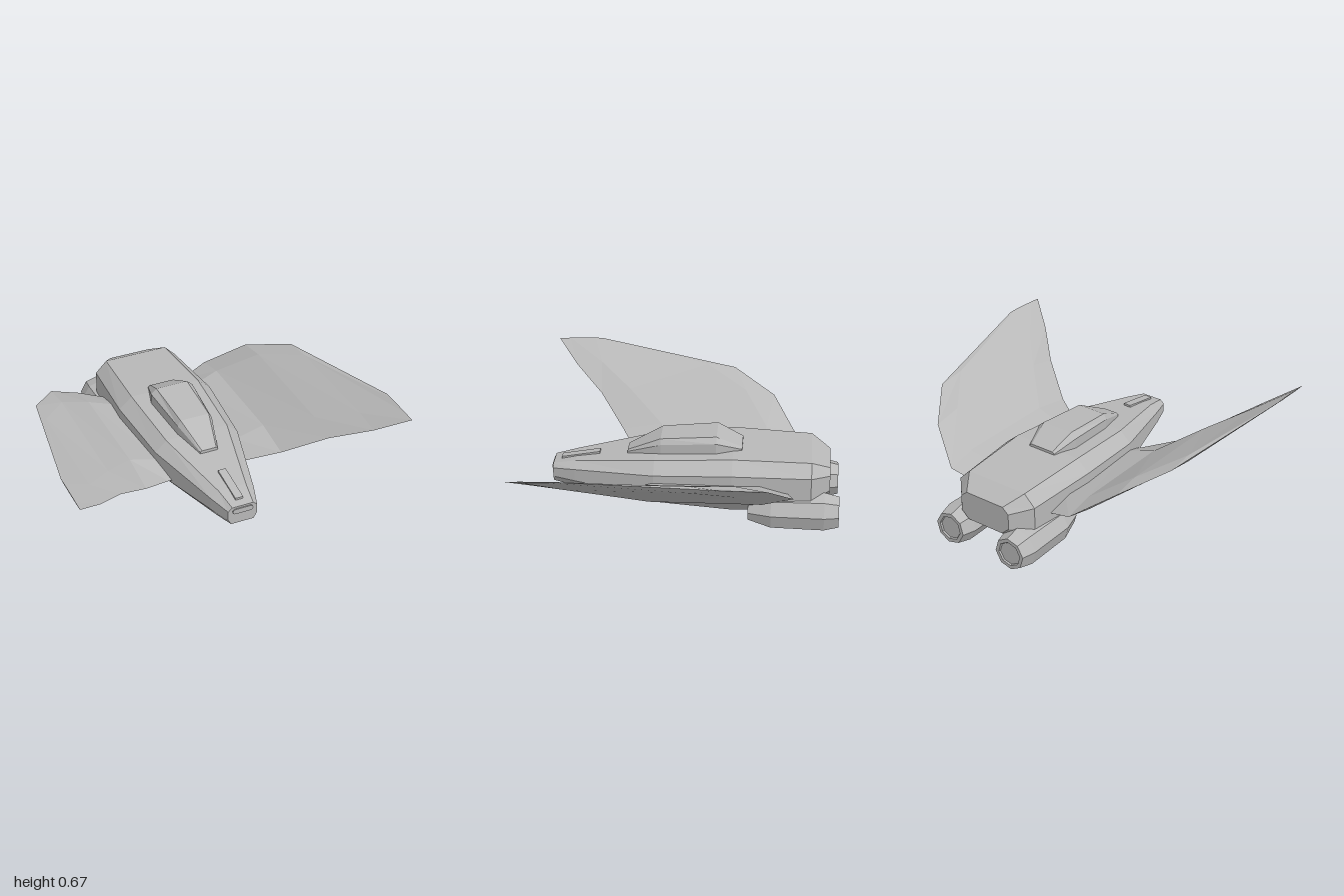
import * as THREE from 'three';

const hullGrey = new THREE.MeshStandardMaterial({ color: 0xb8b8b8, flatShading: true });
hullGrey.name = 'hull grey';

// Closed loft through rings of equal length; rings run counter-clockwise seen from the last ring.
function loft(rings) {
  const pos = [];
  const tri = (a, b, c) => pos.push(...a, ...b, ...c);
  const n = rings[0].length;
  for (let i = 0; i < rings.length - 1; i++) {
    for (let j = 0; j < n; j++) {
      const k = (j + 1) % n, r = rings[i], s = rings[i + 1];
      tri(r[j], r[k], s[k]);
      tri(r[j], s[k], s[j]);
    }
  }
  const first = rings[0], last = rings[rings.length - 1];
  for (let j = 1; j < n - 1; j++) {
    tri(first[0], first[j + 1], first[j]);
    tri(last[0], last[j], last[j + 1]);
  }
  const geo = new THREE.BufferGeometry();
  geo.setAttribute('position', new THREE.Float32BufferAttribute(pos, 3));
  geo.computeVertexNormals();
  return geo;
}

// Full symmetric ring at z from its right half, listed bottom to top as [x, y].
function mirrorRing(z, half) {
  const right = half.map(([x, y]) => [x, y, z]);
  const left = half.map(([x, y]) => [-x, y, z]).reverse();
  return [...right, ...left];
}

export function createModel() {
  const model = new THREE.Group();
  const add = (name, geo) => {
    const mesh = new THREE.Mesh(geo, hullGrey);
    mesh.name = name;
    model.add(mesh);
    return mesh;
  };

  // Fuselage: z, half widths (bottom, side, top), heights (bottom, lower side, shoulder, top)
  const hull = [
    [-0.85, 0.12, 0.17, 0.13, 0.19, 0.235, 0.33, 0.365],
    [-0.74, 0.2, 0.27, 0.2, 0.12, 0.21, 0.355, 0.425],
    [-0.28, 0.22, 0.3, 0.22, 0.112, 0.205, 0.37, 0.44],
    [0.18, 0.19, 0.265, 0.195, 0.13, 0.205, 0.34, 0.405],
    [0.66, 0.095, 0.135, 0.085, 0.168, 0.222, 0.297, 0.333],
    [0.795, 0.07, 0.09, 0.065, 0.19, 0.225, 0.28, 0.302],
  ];
  add('fuselage', loft(hull.map(([z, b, s, t, y0, y1, y2, y3]) =>
    mirrorRing(z, [[b, y0], [s, y1], [s, y2], [t, y3]]))));

  // Canopy: z, side half width, top half width, base, shoulder and roof heights
  const canopy = [
    [-0.33, 0.09, 0.075, 0.4, 0.445, 0.455],
    [-0.18, 0.135, 0.1, 0.4, 0.495, 0.525],
    [0.15, 0.11, 0.09, 0.38, 0.465, 0.497],
    [0.35, 0.055, 0.045, 0.36, 0.39, 0.398],
  ];
  add('canopy', loft(canopy.map(([z, s, t, y0, y1, y2]) =>
    mirrorRing(z, [[s, y0], [s, y1], [t, y2]]))));

  // Raised strip along the nose
  add('noseStrip', loft([[0.52, 0.367], [0.75, 0.325]].map(([z, y]) =>
    mirrorRing(z, [[0.024, y - 0.025], [0.024, y]]))));

  // Rounded plate on the nose tip
  const plate = new THREE.Shape();
  plate.absarc(0.047, 0, 0.016, -Math.PI / 2, Math.PI / 2);
  plate.absarc(-0.047, 0, 0.016, Math.PI / 2, Math.PI * 1.5);
  add('nosePlate', new THREE.ExtrudeGeometry(plate, { depth: 0.008, bevelEnabled: false, curveSegments: 4 }))
    .position.set(0, 0.274, 0.794);

  // Wing: x, rear edge z/y, rear ridge z, front ridge z, front edge z/y, half thickness
  const wing = [
    [0.2, -0.59, 0.24, -0.43, 0.18, 0.32, 0.22, 0.05],
    [0.25, -0.6, 0.25, -0.435, 0.18, 0.335, 0.235, 0.05],
    [0.43, -0.64, 0.31, -0.46, 0.19, 0.43, 0.3, 0.042],
    [0.65, -0.5, 0.465, -0.32, 0.41, 0.59, 0.44, 0.034],
    [0.835, -0.245, 0.565, -0.07, 0.61, 0.77, 0.555, 0.02],
    [1, 0.62, 0.67, 0.67, 0.83, 0.9, 0.66, 0.003],
  ];
  // Engine profile, rear to front: recessed nozzle, flared rim, body, tapered intake
  const engine = [[0, -0.897], [0.07, -0.897], [0.075, -0.906], [0.098, -0.906], [0.119, -0.82],
    [0.113, -0.51], [0.068, -0.375], [0, -0.375]].map(([r, z]) => new THREE.Vector2(r, z));

  for (const side of [1, -1]) {
    const name = side > 0 ? 'left' : 'right';
    const rings = wing.map(([x, zr, yr, z1, z2, zf, yf, t]) => {
      const mid = (z) => yr + (yf - yr) * (z - zr) / (zf - zr);
      const ring = [
        [x, mid(z1) + t, z1], [x, mid(z2) + t, z2], [x, yf, zf],
        [x, mid(z2) - t, z2], [x, mid(z1) - t, z1], [x, yr, zr],
      ];
      return side > 0 ? ring : ring.map(([a, b, c]) => [-a, b, c]).reverse();
    });
    add(name + 'Wing', loft(rings));

    const geo = new THREE.LatheGeometry(engine, 8);
    geo.rotateX(Math.PI / 2);
    geo.rotateZ(side * 0.12);
    add(name + 'Engine', geo).position.set(side * 0.217, 0.119, 0);
  }
  return model;
}
